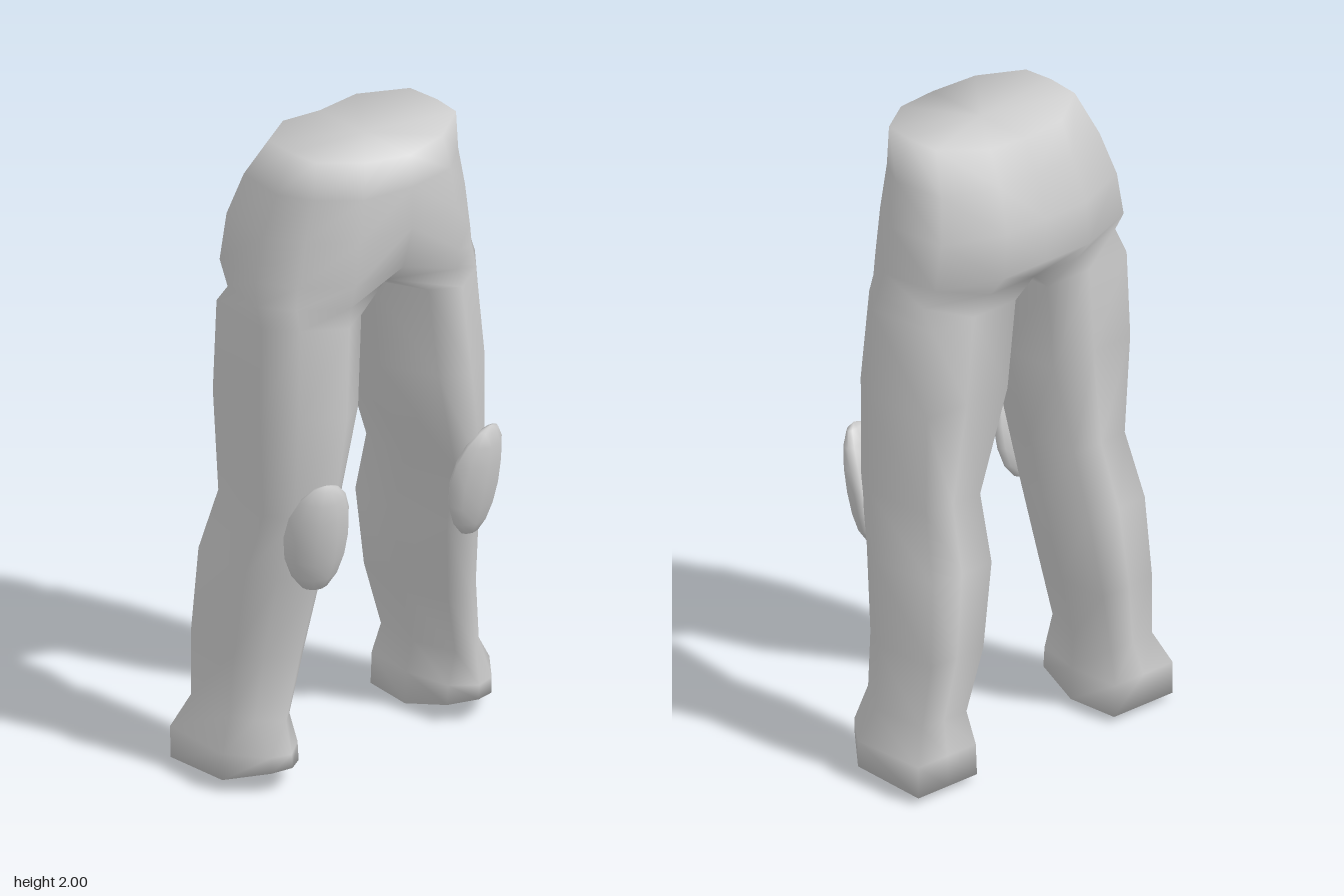
import * as THREE from 'three';
import { mergeVertices } from 'three/addons/utils/BufferGeometryUtils.js';

// Cross-section outlines: u runs inner -> outer, v runs back -> front
const WAIST = [[0, 1], [0.52, 0.95], [0.96, 0.74], [1, 0.5], [0.97, 0.22], [0.5, 0], [0, 0]];
const HIP = [[0, 1], [0.5, 0.97], [0.83, 0.76], [1, 0.53], [0.93, 0.15], [0.42, 0], [0, 0]];
const LEG = [[0.23, 0.88], [0.47, 1], [0.8, 0.81], [1, 0.59], [0.92, 0.02], [0.5, 0], [0.05, 0], [0, 0.46]];
const FOOT = [[0.12, 0.85], [0.4, 1], [0.65, 0.95], [1, 0.65], [0.95, 0], [0.5, 0], [0.06, 0], [0, 0.45]];

// y, outer x, front z, back z, front z on the centre line
const HIP_RINGS = [
  [2.0, 0.282, 0.235, -0.165, 0.24],
  [1.88, 0.335, 0.24, -0.21, 0.25],
  [1.75, 0.372, 0.248, -0.255, 0.25],
  [1.61, 0.4, 0.242, -0.255, 0.21],
  [1.54, 0.408, 0.226, -0.2, 0.13],
];
// y, inner x, outer x, front z, back z
const LEG_RINGS = [
  [1.48, 0.045, 0.412, 0.22, -0.19],
  [1.2, 0.073, 0.43, 0.237, -0.185],
  [0.88, 0.173, 0.412, 0.225, -0.17],
  [0.68, 0.18, 0.44, 0.175, -0.228],
  [0.42, 0.225, 0.455, 0.13, -0.24],
  [0.22, 0.275, 0.47, 0.11, -0.22],
];
const FOOT_RINGS = [
  [0.12, 0.26, 0.515, 0.13, -0.25],
  [0.02, 0.255, 0.515, 0.13, -0.25],
];

function halfRings() {
  const rings = HIP_RINGS.map(([y, xo, zf, zb, zc], i) =>
    (i === 0 ? WAIST : HIP).map(([u, v], j) => {
      const dip = i === 0 ? 0.02 * (1 - u) : 0;
      return [u * xo, y - dip, j === 0 ? zc : zb + v * (zf - zb)];
    }));
  // crotch point bridges the two legs
  rings[4].push([0, 1.5, -0.03]);
  const addLeg = (table, outline) => table.forEach(([y, xi, xo, zf, zb]) => {
    rings.push(outline.map(([u, v]) => [
      xi + u * (xo - xi),
      y === 0.02 ? y + 0.11 * Math.max(0, v - 0.5) : y, // toe lifts off the ground
      zb + v * (zf - zb),
    ]));
  });
  addLeg(LEG_RINGS, LEG);
  addLeg(FOOT_RINGS, FOOT);
  return rings;
}

function trouserGeometry() {
  const positions = [];
  const rings = halfRings();
  for (const side of [1, -1]) {
    const tri = (a, b, c) => {
      for (const p of side > 0 ? [a, b, c] : [a, c, b]) positions.push(p[0] * side, p[1], p[2]);
    };
    // side walls: open at the centre line above the crotch, closed loops below
    for (let i = 0; i < rings.length - 1; i++) {
      const top = rings[i], low = rings[i + 1];
      const spans = i < 4 ? 6 : 8;
      for (let j = 0; j < spans; j++) {
        const k = (j + 1) % 8;
        tri(top[j], low[j], low[k]);
        tri(top[j], low[k], top[k]);
      }
    }
    // waist cap
    const waist = rings[0];
    for (let j = 0; j < 6; j++) tri([0, 1.98, 0.03], waist[j], waist[j + 1]);
    // sole
    const sole = rings[rings.length - 1];
    for (let j = 0; j < 8; j++) tri([0.36, 0, -0.08], sole[(j + 1) % 8], sole[j]);
  }
  const geometry = new THREE.BufferGeometry();
  geometry.setAttribute('position', new THREE.Float32BufferAttribute(positions, 3));
  const welded = mergeVertices(geometry, 1e-4);
  welded.computeVertexNormals();
  return welded;
}

// flattened oval whose sides wrap back around the knee
function padGeometry() {
  const sphere = new THREE.SphereGeometry(1, 10, 8);
  sphere.deleteAttribute('normal');
  sphere.deleteAttribute('uv');
  const pad = mergeVertices(sphere, 1e-4);
  const p = pad.attributes.position;
  for (let i = 0; i < p.count; i++) {
    const x = p.getX(i);
    p.setXYZ(i, x * 0.106, p.getY(i) * 0.188, p.getZ(i) * 0.047 - x * x * 0.035);
  }
  pad.computeVertexNormals();
  return pad;
}

export function createModel() {
  const grey = new THREE.MeshStandardMaterial({ color: 0xcccccc });
  grey.name = 'grey';
  const model = new THREE.Group();
  model.name = 'trousers';

  const body = new THREE.Mesh(trouserGeometry(), grey);
  body.name = 'hipsAndLegs';
  model.add(body);

  // knee pads, turned slightly outward with the top leaning forward
  const padShape = padGeometry();
  for (const side of [1, -1]) {
    const pad = new THREE.Mesh(padShape, grey);
    pad.name = side > 0 ? 'leftKneePad' : 'rightKneePad';
    pad.rotation.set(0.2, side * 0.25, 0, 'YXZ');
    pad.position.set(side * 0.307, 0.825, 0.197);
    model.add(pad);
  }
  return model;
}
